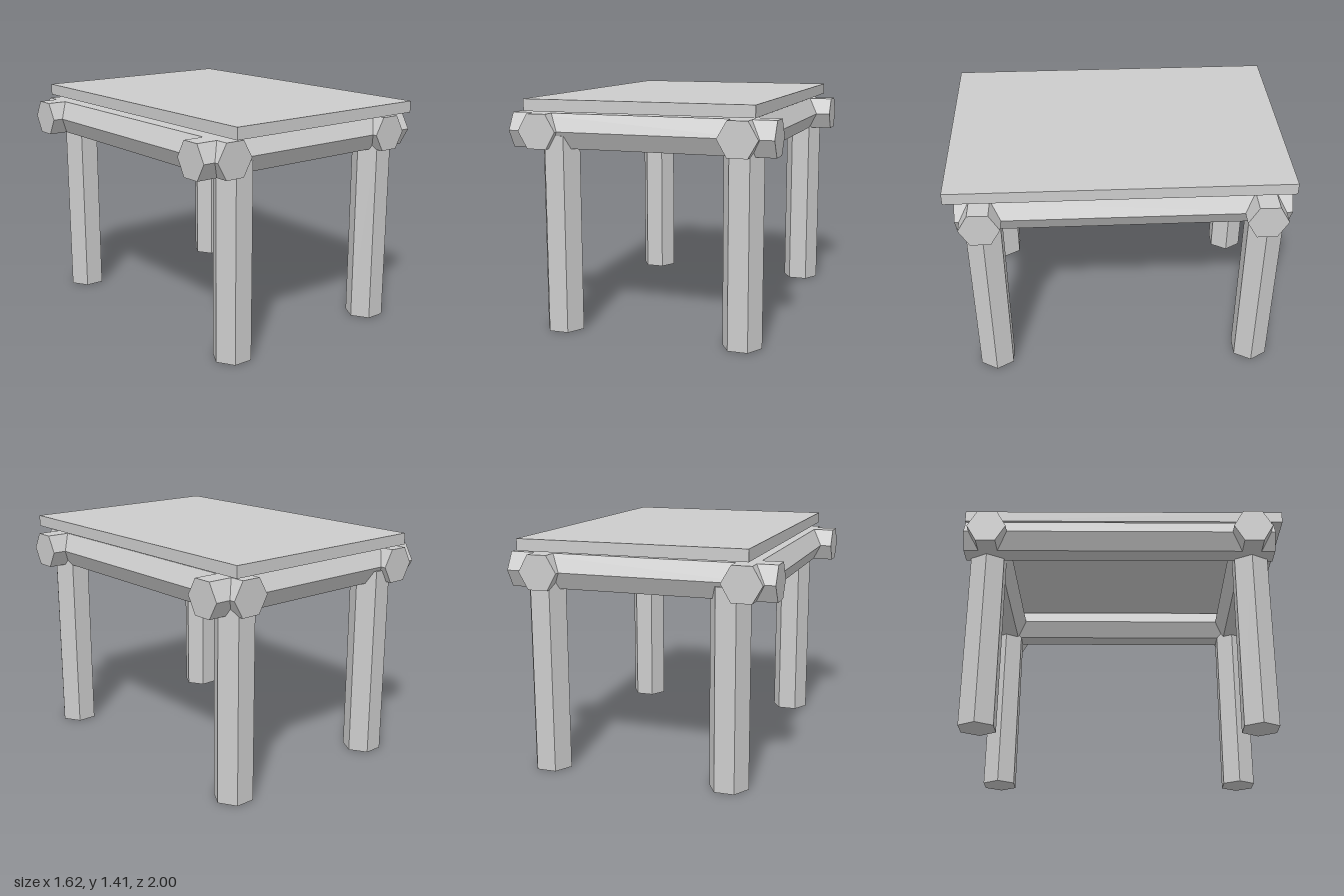
import * as THREE from 'three';

const RADIUS = 0.119;
const RAIL_Y = 1.215;
const LEG_HEIGHT = 1.19;

export function createModel() {
  const model = new THREE.Group();
  model.name = 'table';
  const material = new THREE.MeshStandardMaterial({ color: 0xcccccc, flatShading: true });

  const add = (name, geometry, x, y, z) => {
    const mesh = new THREE.Mesh(geometry, material);
    mesh.name = name;
    mesh.position.set(x, y, z);
    model.add(mesh);
    return mesh;
  };
  const hexBeam = (length) => new THREE.CylinderGeometry(RADIUS, RADIUS, length, 6);

  // Thin slab floating just above the frame
  add('tableTop', new THREE.BoxGeometry(1.37, 0.07, 2), 0.025, 1.375, 0);

  // Hexagonal legs, corners pointing sideways
  const legs = [
    ['frontRightLeg', -0.523, 0.797],
    ['frontLeftLeg', 0.596, 0.797],
    ['backRightLeg', -0.523, -0.853],
    ['backLeftLeg', 0.596, -0.853],
  ];
  for (const [name, x, z] of legs) {
    add(name, hexBeam(LEG_HEIGHT).rotateY(Math.PI / 2), x, LEG_HEIGHT / 2, z);
  }

  // Long rails running front to back
  const sideRails = [
    ['rightRail', -0.619, -0.99, 0.935],
    ['leftRail', 0.595, -0.985, 0.945],
  ];
  for (const [name, x, z0, z1] of sideRails) {
    add(name, hexBeam(z1 - z0).rotateY(Math.PI / 2).rotateX(Math.PI / 2), x, RAIL_Y, (z0 + z1) / 2);
  }

  // Cross rails, very slightly askew
  const crossRails = [
    ['frontRail', -0.81, 0.797, 0.796],
    ['backRail', -0.8, 0.805, -0.836],
  ];
  for (const [name, x0, x1, z] of crossRails) {
    const rail = add(name, hexBeam(x1 - x0).rotateZ(Math.PI / 2), (x0 + x1) / 2, RAIL_Y, z);
    rail.rotation.y = -0.007;
  }

  return model;
}
